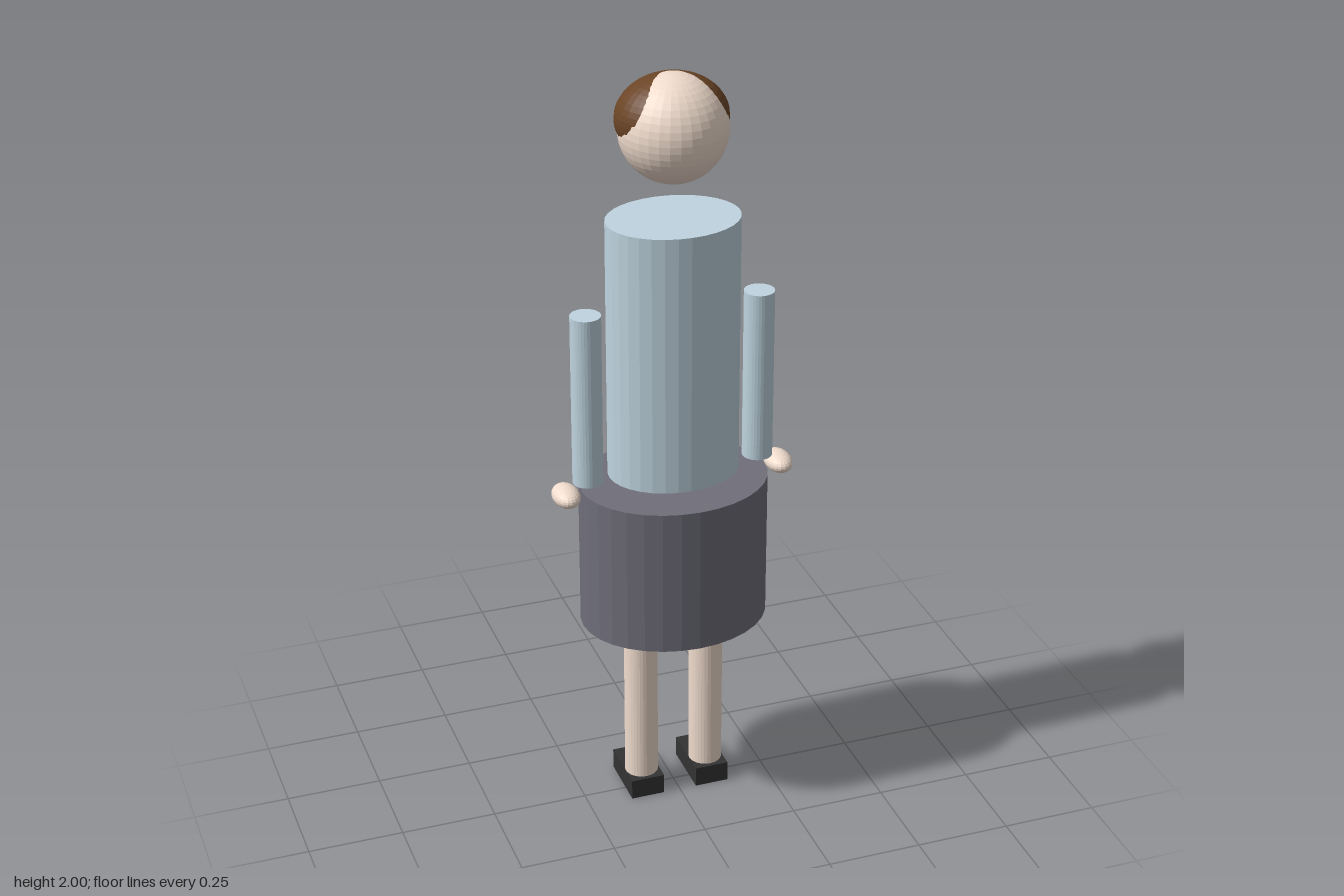
import * as THREE from 'three';

const paint = (color) => new THREE.MeshStandardMaterial({ color, flatShading: true });

export function createModel() {
  const model = new THREE.Group();
  const skin = paint(0xf0dccd), shirt = paint(0xbfd4df), cloth = paint(0x6f6e7a);
  const brown = paint(0x6b4526), black = paint(0x333333), eyeGrey = paint(0x8a9496), lip = paint(0x9c5a52);

  const add = (name, geometry, material, x, y, z) => {
    const mesh = new THREE.Mesh(geometry, material);
    mesh.name = name;
    mesh.position.set(x, y, z);
    model.add(mesh);
    return mesh;
  };
  // Upright elliptical cylinder between two heights
  const column = (name, material, x, bottom, top, rx, rz) =>
    add(name, new THREE.CylinderGeometry(1, 1, top - bottom, 32), material, x, (bottom + top) / 2, 0).scale.set(rx, 1, rz);
  const ellipsoid = (name, material, x, y, z, rx, ry, rz, w = 32, h = 24) =>
    add(name, new THREE.SphereGeometry(1, w, h), material, x, y, z).scale.set(rx, ry, rz);

  // Head and hair cap
  ellipsoid('head', skin, 0, 1.865, 0, 0.135, 0.135, 0.135);
  ellipsoid('hair', brown, 0, 1.89, -0.01, 0.141, 0.108, 0.12);

  // Clothes
  column('torso', shirt, 0, 0.95, 1.635, 0.17, 0.136);
  column('skirt', cloth, 0, 0.53, 0.925, 0.245, 0.204);

  // Face, looking along -z
  ellipsoid('nose', skin, 0, 1.838, -0.13, 0.011, 0.011, 0.01, 12, 8);
  add('mouth', new THREE.BoxGeometry(0.045, 0.008, 0.012), lip, 0, 1.81, -0.127);

  // Paired parts
  for (const [side, s] of [['left', 1], ['right', -1]]) {
    column(side + 'Arm', shirt, s * 0.227, 0.95, 1.408, 0.039, 0.039);
    ellipsoid(side + 'Hand', skin, s * 0.285, 0.92, 0, 0.035, 0.026, 0.054, 20, 14);
    column(side + 'Leg', skin, s * 0.09, 0.05, 0.535, 0.044, 0.044);
    add(side + 'Shoe', new THREE.BoxGeometry(0.09, 0.055, 0.16), black, s * 0.09, 0.0275, -0.025);
    ellipsoid(side + 'Eye', eyeGrey, s * 0.047, 1.888, -0.119, 0.014, 0.014, 0.011, 14, 10);
    add(side + 'Eyebrow', new THREE.BoxGeometry(0.036, 0.008, 0.01), brown, s * 0.046, 1.914, -0.131);
  }

  return model;
}
